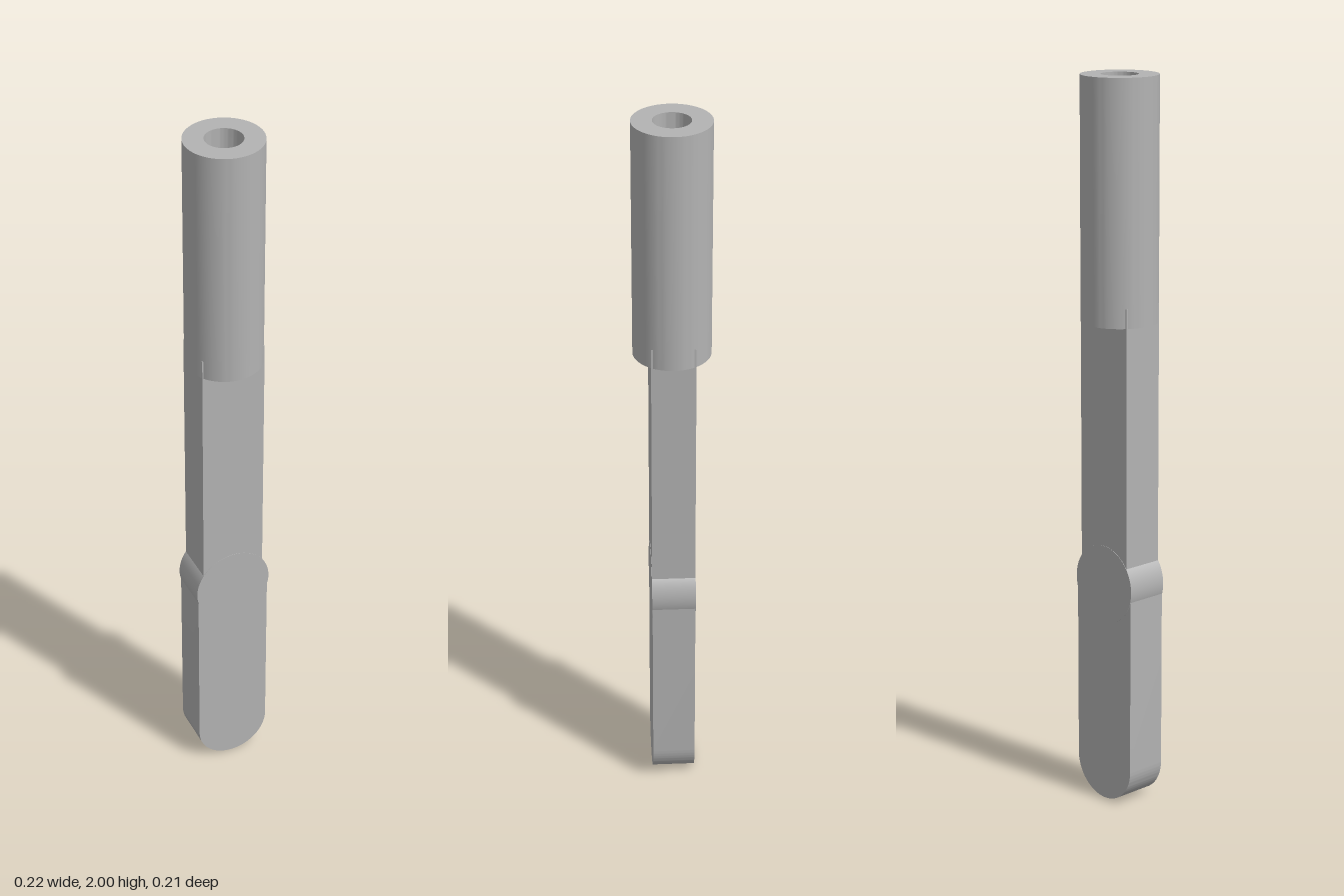
import * as THREE from 'three';
import { toCreasedNormals } from 'three/addons/utils/BufferGeometryUtils.js';

export function createModel() {
  const model = new THREE.Group();
  const steel = new THREE.MeshStandardMaterial({ color: 0xb3b3b3 });
  steel.name = 'light grey steel';

  const add = (name, geometry, y = 0) => {
    const mesh = new THREE.Mesh(geometry, steel);
    mesh.name = name;
    mesh.position.y = y;
    model.add(mesh);
    return mesh;
  };

  // Hollow sleeve: closed ring profile turned about y
  const sleeveBottom = 1.347, sleeveTop = 2, outer = 0.104, bore = 0.05;
  const profile = [
    [bore, sleeveBottom], [outer, sleeveBottom], [outer, sleeveTop],
    [bore, sleeveTop], [bore, sleeveBottom],
  ].map(([r, y]) => new THREE.Vector2(r, y));
  add('sleeve', toCreasedNormals(new THREE.LatheGeometry(profile, 64), 0.6));

  // Flat shank, its top set inside the sleeve and closing the bore
  const shankBottom = 0.62, shankTop = 1.4;
  add('shank', new THREE.BoxGeometry(0.178, shankTop - shankBottom, 0.118),
    (shankBottom + shankTop) / 2);

  // Round pivot boss, a hair thicker than the bars it joins
  const boss = new THREE.CylinderGeometry(0.109, 0.109, 0.12, 64);
  boss.rotateX(Math.PI / 2);
  add('pivotBoss', boss, 0.625);

  // Lower blade with a rounded tip
  const r = 0.105, bladeTop = 0.625, depth = 0.118;
  const outline = new THREE.Shape();
  outline.moveTo(r, bladeTop);
  outline.lineTo(-r, bladeTop);
  outline.lineTo(-r, r);
  outline.absarc(0, r, r, Math.PI, Math.PI * 2, false);
  outline.closePath();
  const blade = new THREE.ExtrudeGeometry(outline, { depth, bevelEnabled: false, curveSegments: 32 });
  blade.translate(0, 0, -depth / 2);
  add('blade', toCreasedNormals(blade, 0.6));

  return model;
}
